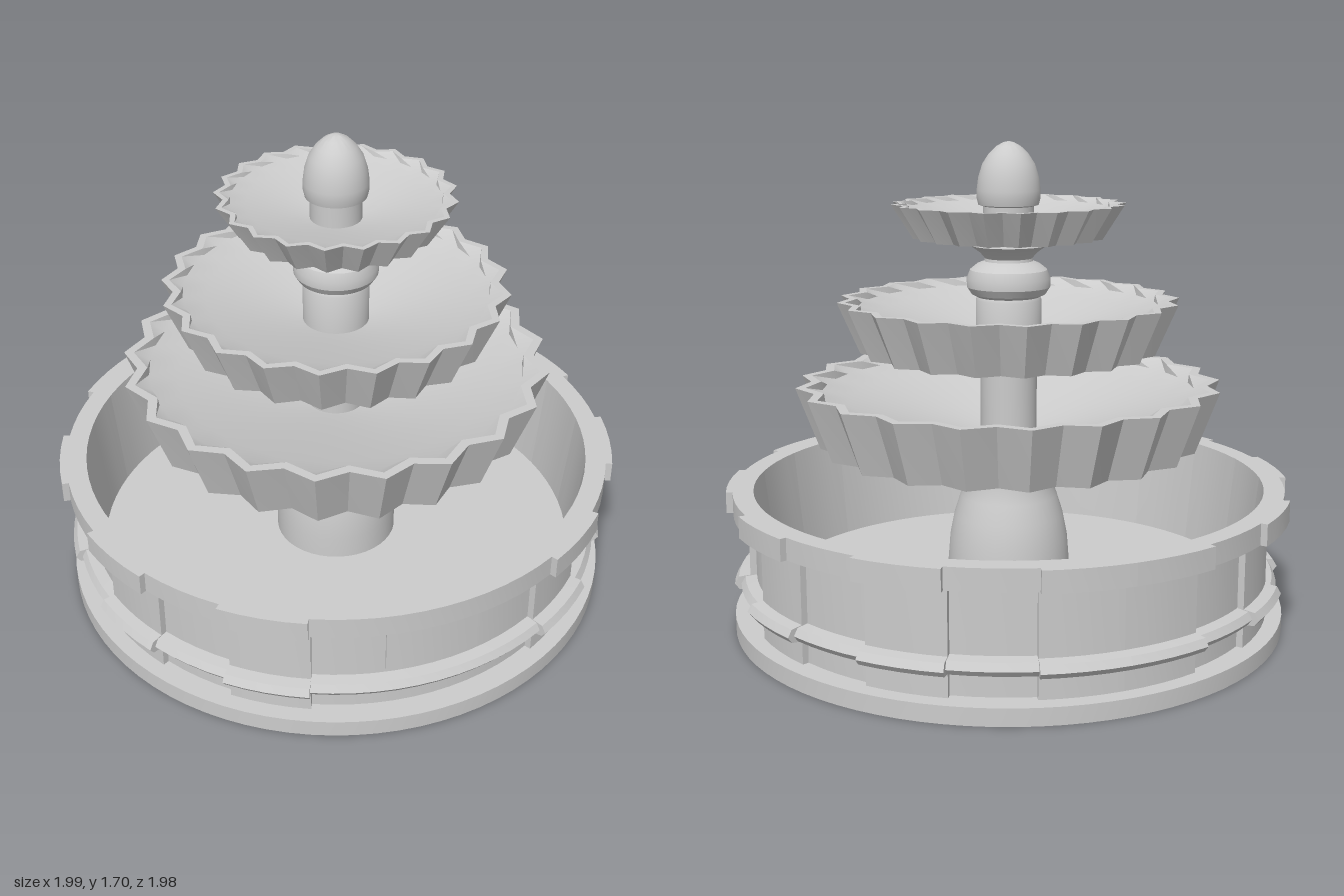
import * as THREE from 'three';
import { mergeGeometries, toCreasedNormals } from 'three/addons/utils/BufferGeometryUtils.js';

const stone = new THREE.MeshStandardMaterial({ color: 0xcccccc, side: THREE.DoubleSide });
const UNIT = (Math.PI * 2) / 21; // angular module shared by basin blocks and bowl flutes
const vectors = (pts) => pts.map(([r, y]) => new THREE.Vector2(r, y));

// Every part shares one upright axis, set slightly forward
function addMesh(parent, name, geometry, crease = 0.5) {
  const mesh = new THREE.Mesh(toCreasedNormals(geometry, crease), stone);
  mesh.name = name;
  mesh.position.z = 0.008;
  parent.add(mesh);
}

// Closed profile swept over an arc, with capped ends (angle 0 faces +z)
function sector(profile, start, length, steps) {
  const pts = vectors(profile);
  const parts = [new THREE.LatheGeometry([...pts, pts[0].clone()], steps, start, length)];
  for (const angle of [start, start + length]) {
    parts.push(new THREE.ShapeGeometry(new THREE.Shape(pts)).rotateY(angle - Math.PI / 2));
  }
  return mergeGeometries(parts.map((g) => g.toNonIndexed()));
}

// Basin wall block: plinth wall, pointed band, coping and sloped inside face
function wallProfile(out) {
  const wall = 0.903 + out;
  return [
    [0.86, 0.05], [wall, 0.05], [wall, 0.14], [wall + 0.04, 0.145], [wall + 0.055, 0.165],
    [wall + 0.04, 0.19], [wall, 0.195], [wall, 0.425], [0.977 + out, 0.425], [0.977 + out, 0.5],
    [0.905, 0.5], [0.865, 0.12],
  ];
}

// Fluted bowl: a zigzag shell and lip around a smooth round dish
function bowl({ y0, y1, top, bottom, depth, lip }) {
  const inner = top - lip;
  const dish = inner - depth - 0.004;
  const drop = (y1 - y0) * 0.14;
  const rows = [
    [0, y0, 0], [bottom, y0, depth], [top, y1, depth], [inner, y1, depth], [dish, y1 - drop, 0],
  ];
  for (const t of [0.85, 0.7, 0.55, 0.37, 0.18, 0]) {
    const floor = y0 + 0.015;
    rows.push([dish * t, floor + (y1 - drop - floor) * Math.pow(t, 1.2), 0]);
  }
  const geometry = new THREE.LatheGeometry(vectors(rows), 42);
  const pos = geometry.attributes.position;
  for (let i = 0; i <= 42; i += 2) {
    rows.forEach(([r, , pull], j) => {
      if (!pull) return;
      const k = i * rows.length + j;
      const scale = (r - pull) / r;
      pos.setX(k, pos.getX(k) * scale);
      pos.setZ(k, pos.getZ(k) * scale);
    });
  }
  return geometry;
}

function turned(profile) {
  return new THREE.LatheGeometry(vectors(profile), 40);
}

export function createModel() {
  const model = new THREE.Group();
  model.name = 'fountain';

  // Base and floor
  addMesh(model, 'base', new THREE.CylinderGeometry(0.982, 0.982, 0.06, 84).translate(0, 0.03, 0));
  addMesh(model, 'basinFloor', new THREE.CylinderGeometry(0.88, 0.88, 0.07, 84).translate(0, 0.085, 0));

  // Ring of alternating blocks, with one wide block at the front
  const basin = new THREE.Group();
  basin.name = 'basinWall';
  model.add(basin);
  addMesh(basin, 'frontBlock', sector(wallProfile(0), -1.5 * UNIT, 3 * UNIT, 12));
  for (let i = 0; i < 18; i++) {
    const fromFront = Math.min(i, 17 - i);
    const out = fromFront % 2 ? 0 : 0.023;
    addMesh(basin, 'wallBlock', sector(wallProfile(out), (1.5 + i) * UNIT, UNIT, 4));
  }

  // Raised panel on the front block
  const half = Math.asin(0.165 / 0.912);
  const panel = [[0.885, 0.215], [0.912, 0.215], [0.912, 0.395], [0.885, 0.395]];
  addMesh(model, 'frontPanel', sector(panel, -half, 2 * half, 6));

  // Pedestal and columns
  addMesh(model, 'pedestal', turned([
    [0.22, 0.11], [0.219, 0.2], [0.211, 0.3], [0.195, 0.38], [0.173, 0.45], [0.156, 0.5],
    [0.155, 0.55], [0.15, 0.59], [0.135, 0.61], [0.118, 0.62], [0.115, 0.66],
  ]));
  addMesh(model, 'middleColumn', turned([[0.1, 0.64], [0.1, 1.0]]));
  addMesh(model, 'upperColumn', turned([
    [0.115, 0.98], [0.115, 1.155], [0.11, 1.165], [0.13, 1.175], [0.146, 1.2], [0.147, 1.23],
    [0.135, 1.26], [0.11, 1.28], [0.085, 1.29], [0.083, 1.3], [0.1, 1.32], [0.135, 1.345],
    [0.125, 1.368], [0.1, 1.372], [0.1, 1.385],
  ]));

  // Three fluted bowls
  addMesh(model, 'lowerBowl',
    bowl({ y0: 0.642, y1: 0.862, top: 0.75, bottom: 0.668, depth: 0.052, lip: 0.035 }), 0.4);
  addMesh(model, 'middleBowl',
    bowl({ y0: 0.977, y1: 1.157, top: 0.6, bottom: 0.522, depth: 0.042, lip: 0.028 }), 0.4);
  addMesh(model, 'upperBowl',
    bowl({ y0: 1.372, y1: 1.49, top: 0.408, bottom: 0.333, depth: 0.032, lip: 0.02 }), 0.4);

  // Pointed egg finial on a short neck
  addMesh(model, 'finial', turned([
    [0.088, 1.38], [0.088, 1.48], [0.105, 1.485], [0.111, 1.51], [0.111, 1.535], [0.105, 1.58],
    [0.091, 1.625], [0.068, 1.66], [0.042, 1.685], [0.018, 1.698], [0, 1.702],
  ]), 0.7);

  return model;
}
